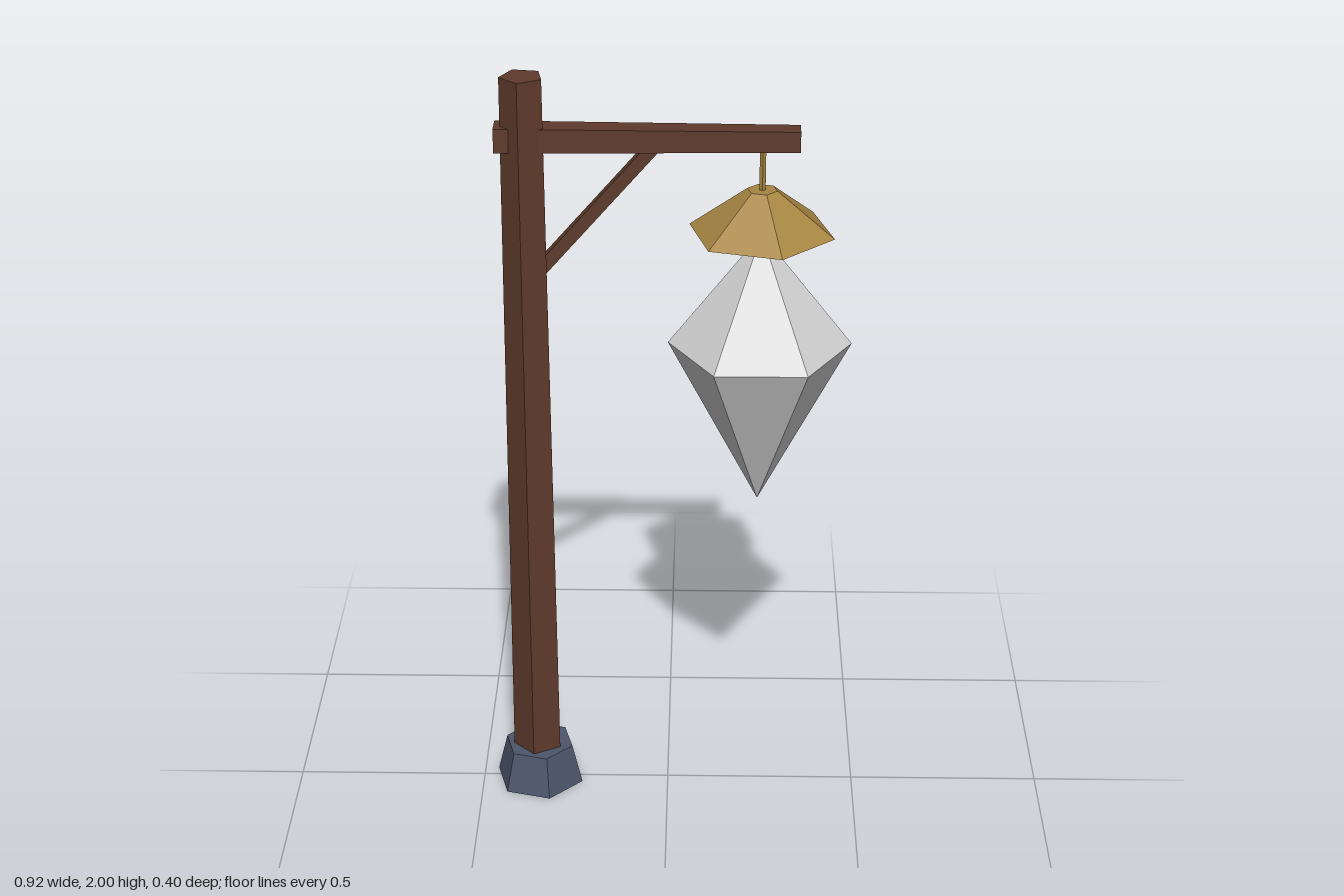
import * as THREE from 'three';

const flat = (name, color) => {
  const m = new THREE.MeshStandardMaterial({ color, flatShading: true });
  m.name = name;
  return m;
};

export function createModel() {
  const wood = flat('dark wood', 0x5e3b2c);
  const stone = flat('slate stone', 0x4d576b);
  const brass = flat('brass', 0xa88642);
  const crystal = flat('pale crystal', 0xd4d4d4);

  const model = new THREE.Group();
  model.name = 'lampPost';

  const add = (name, geometry, material, x, y) => {
    const mesh = new THREE.Mesh(geometry, material);
    mesh.name = name;
    mesh.position.set(x, y, 0);
    model.add(mesh);
    return mesh;
  };

  // Upright tapered prism from y0 to y1, turned by the given angle
  const prism = (name, material, sides, rBottom, rTop, x, y0, y1, turn) =>
    add(name, new THREE.CylinderGeometry(rTop, rBottom, y1 - y0, sides, 1, false, turn),
      material, x, (y0 + y1) / 2);

  // Square timber between two points, with half-widths at each end
  const timber = (name, x0, y0, x1, y1, h0, h1) => {
    const length = Math.hypot(x1 - x0, y1 - y0);
    const g = new THREE.CylinderGeometry(h1 * Math.SQRT2, h0 * Math.SQRT2, length, 4, 1, false, Math.PI / 4);
    const mesh = add(name, g, wood, (x0 + x1) / 2, (y0 + y1) / 2);
    mesh.rotation.z = Math.atan2(y1 - y0, x1 - x0) - Math.PI / 2;
  };

  const postX = -0.348, lampX = 0.23;

  // Stone foot and five-sided post
  prism('foot', stone, 6, 0.12, 0.093, postX, 0, 0.11, 0.26);
  prism('post', wood, 5, 0.067, 0.055, postX - 0.002, 0.03, 2, -0.15);

  // Arm and its diagonal brace
  timber('arm', -0.42, 1.846, 0.32, 1.846, 0.031, 0.026);
  timber('brace', -0.326, 1.49, -0.03, 1.831, 0.016, 0.016);

  // Hanging rod and shade
  prism('rod', brass, 5, 0.008, 0.008, lampX, 1.7, 1.83, 0);
  prism('shade', brass, 6, 0.184, 0.038, lampX, 1.605, 1.715, 0.26);

  // Faceted crystal: six-sided double cone
  const profile = [[0, 0.865], [0.23, 1.305], [0, 1.6]].map(([r, y]) => new THREE.Vector2(r, y));
  add('crystal', new THREE.LatheGeometry(profile, 6, Math.PI / 6), crystal, lampX, 0);

  return model;
}
